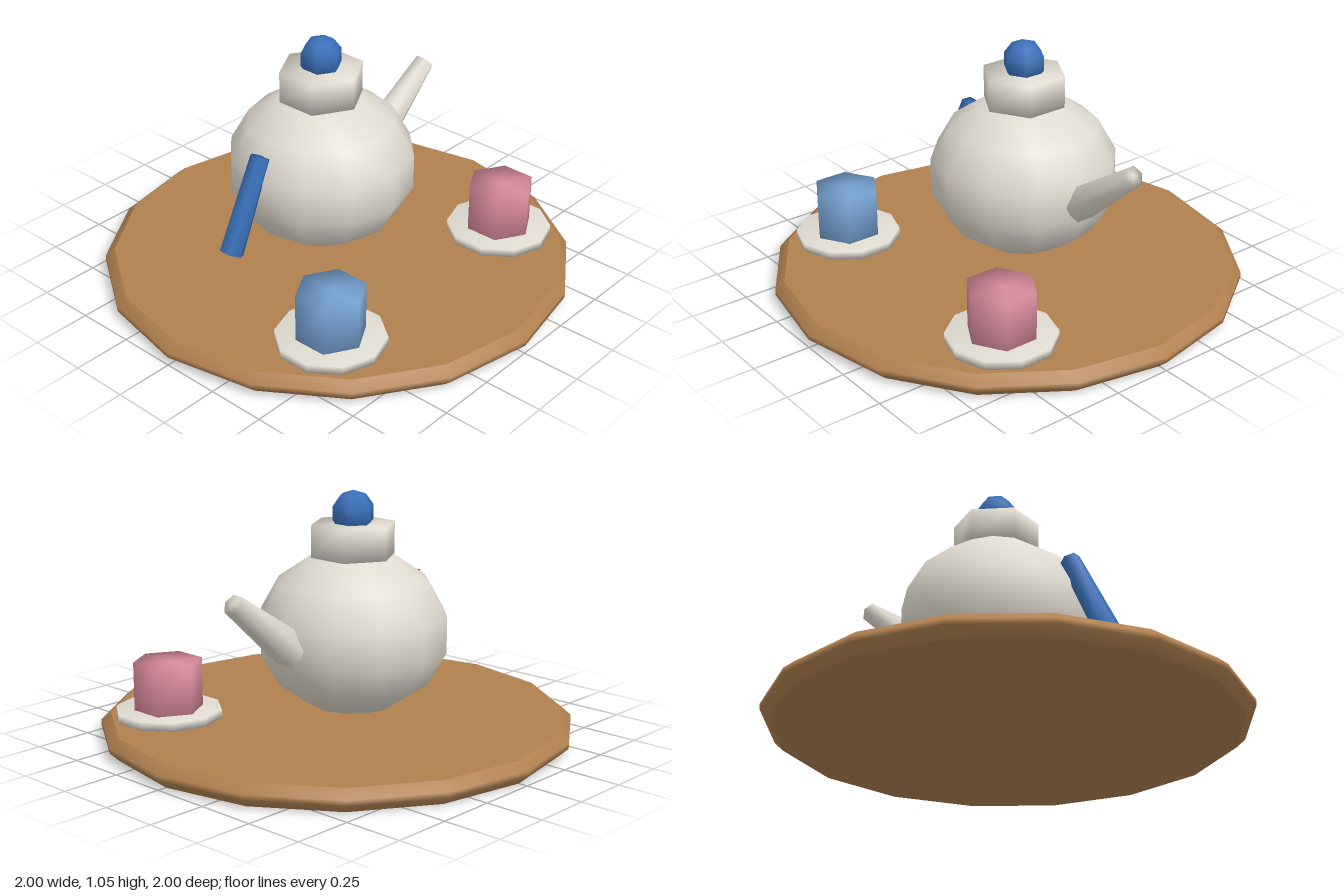
import * as THREE from 'three';
import { mergeVertices } from 'three/addons/utils/BufferGeometryUtils.js';

const paint = (color) => new THREE.MeshStandardMaterial({ color });

// Share corners so the shading rolls softly over the low-poly edges.
function soften(geometry) {
  geometry.deleteAttribute('normal');
  geometry.deleteAttribute('uv');
  const merged = mergeVertices(geometry, 1e-4);
  merged.computeVertexNormals();
  return merged;
}

function part(parent, name, geometry, material, x = 0, y = 0, z = 0) {
  const mesh = new THREE.Mesh(geometry, material);
  mesh.name = name;
  mesh.position.set(x, y, z);
  parent.add(mesh);
  return mesh;
}

// Prism standing between two heights
const prism = (radius, height, sides) =>
  soften(new THREE.CylinderGeometry(radius, radius, height, sides));

// Tapered hexagonal rod between two points in the x-y plane
function rod(parent, name, from, to, r0, r1, material) {
  const a = new THREE.Vector2(...from), b = new THREE.Vector2(...to);
  const d = b.clone().sub(a);
  const mid = a.clone().add(b).multiplyScalar(0.5);
  const geometry = soften(new THREE.CylinderGeometry(r1, r0, d.length(), 6));
  const mesh = part(parent, name, geometry, material, mid.x, mid.y, 0);
  mesh.rotation.z = d.angle() - Math.PI / 2;
}

export function createModel() {
  const model = new THREE.Group();
  const wood = paint(0xb0804f);
  const cream = paint(0xe0dbd0);
  const blue = paint(0x386fb8);

  // Tray: bevelled rim with flat top and underside
  const tray = new THREE.Group();
  tray.name = 'tray';
  model.add(tray);
  const rim = [[0.96, 0], [1, 0.037], [1, 0.06], [0.96, 0.094]]
    .map(([x, y]) => new THREE.Vector2(x, y));
  part(tray, 'trayRim', new THREE.LatheGeometry(rim, 16), wood);
  const disc = new THREE.CircleGeometry(0.96, 16);
  part(tray, 'trayTop', disc, wood, 0, 0.094).rotation.x = -Math.PI / 2;
  part(tray, 'trayUnderside', disc, wood).rotation.x = Math.PI / 2;

  // Teapot
  const teapot = new THREE.Group();
  teapot.name = 'teapot';
  teapot.position.z = -0.09;
  model.add(teapot);
  const body = new THREE.SphereGeometry(0.405, 12, 7).scale(1, 0.855, 1);
  part(teapot, 'body', body, cream, 0, 0.459);
  part(teapot, 'lid', prism(0.18, 0.135, 6), cream, 0, 0.843);
  const knob = new THREE.SphereGeometry(0.0925, 6, 5).rotateY(Math.PI / 6);
  part(teapot, 'lidKnob', knob, blue, 0, 0.955);
  rod(teapot, 'spout', [0.36, 0.44], [0.678, 0.686], 0.08, 0.045, cream);
  rod(teapot, 'handle', [-0.547, 0.265], [-0.368, 0.64], 0.052, 0.043, blue);

  // Cups on saucers
  for (const [side, label, color] of [[-1, 'right', 0x75a2d2], [1, 'left', 0xd98a9c]]) {
    const setting = new THREE.Group();
    setting.name = label + 'CupAndSaucer';
    setting.position.set(side * 0.546, 0, 0.455);
    model.add(setting);
    part(setting, label + 'Saucer', prism(0.225, 0.036, 10), cream, 0, 0.112);
    part(setting, label + 'Cup', prism(0.145, 0.207, 6), paint(color), 0, 0.2325);
  }
  return model;
}
